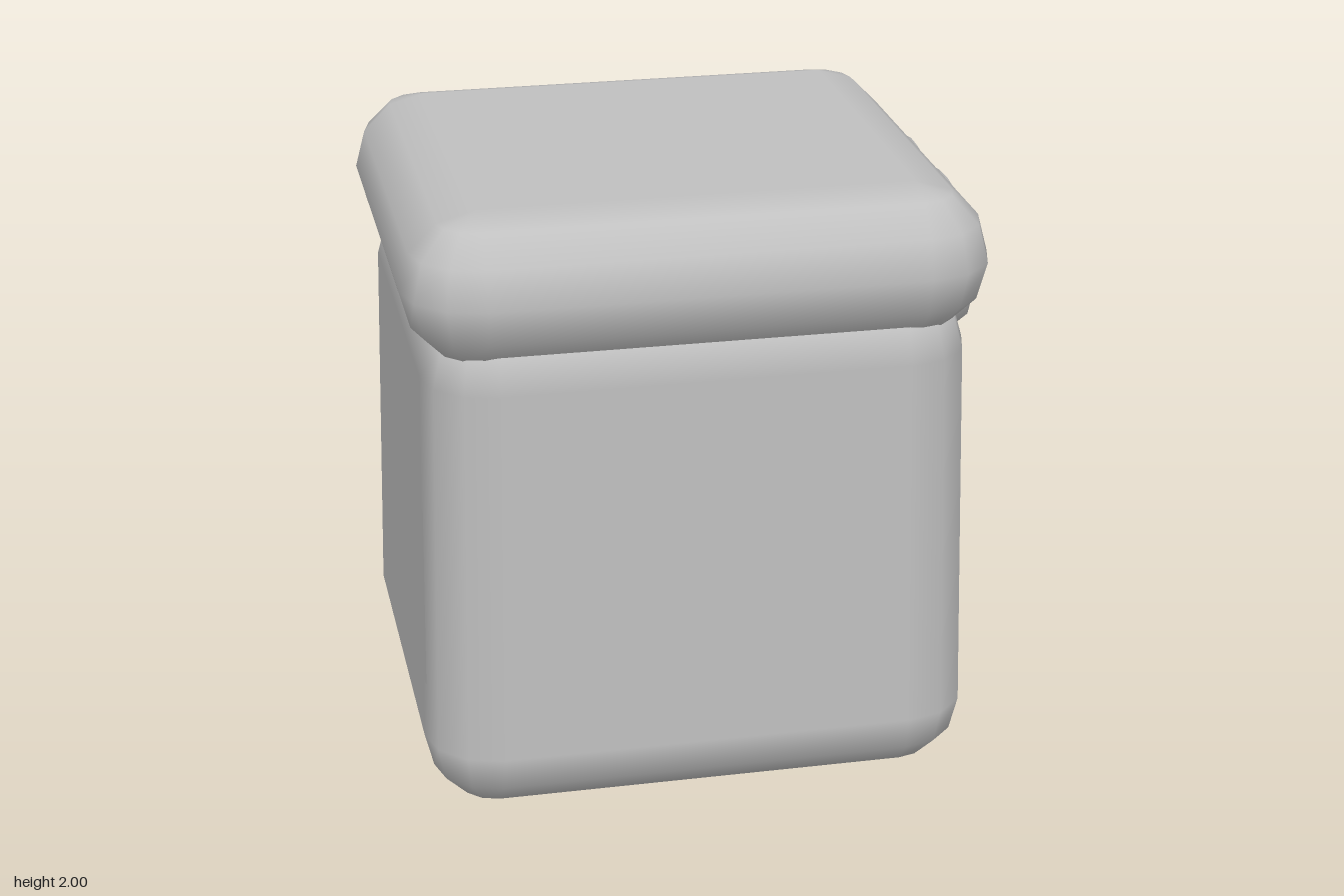
import * as THREE from 'three';

const CENTRE_X = -0.07;
// The body narrows slightly towards the top.
const taper = (y) => 1 - 0.03 * (y - 0.23) / 1.2;

// Rounded box with 30 degree bevel steps, built from stacked rounded-rectangle rings.
function roundedBlock(hx, hy, hz, r, steps = 3) {
  const pos = [], nor = [], idx = [];
  const ring = 4 * (steps + 1);
  const rows = 2 * (steps + 1);
  for (let i = 0; i < rows; i++) {
    const upper = i > steps;
    const phi = ((upper ? i - 1 : i) / steps - 1) * Math.PI / 2;
    for (let q = 0; q < 4; q++) {
      const sx = q === 0 || q === 3 ? 1 : -1;
      const sz = q < 2 ? 1 : -1;
      for (let k = 0; k <= steps; k++) {
        const a = (q + k / steps) * Math.PI / 2;
        const n = [Math.cos(phi) * Math.cos(a), Math.sin(phi), Math.cos(phi) * Math.sin(a)];
        pos.push(sx * (hx - r) + r * n[0], (upper ? 1 : -1) * (hy - r) + r * n[1], sz * (hz - r) + r * n[2]);
        nor.push(...n);
      }
    }
  }
  for (let i = 0; i < rows - 1; i++) {
    for (let j = 0; j < ring; j++) {
      const a = i * ring + j, b = i * ring + (j + 1) % ring;
      idx.push(a, a + ring, b, b, a + ring, b + ring);
    }
  }
  // Flat bottom and top
  const [b0, b1, b2, b3] = [0, 1, 2, 3].map((q) => q * (steps + 1));
  const t = (rows - 1) * ring;
  idx.push(b0, b1, b2, b0, b2, b3, t + b0, t + b2, t + b1, t + b0, t + b3, t + b2);
  const g = new THREE.BufferGeometry();
  g.setAttribute('position', new THREE.Float32BufferAttribute(pos, 3));
  g.setAttribute('normal', new THREE.Float32BufferAttribute(nor, 3));
  g.setIndex(idx);
  return g;
}

// Thin flat mark lying on a side wall; points are (z, y).
function wallMark(points, side) {
  const shape = new THREE.Shape(points.map(([z, y]) => new THREE.Vector2(-side * z, y)));
  const g = new THREE.ShapeGeometry(shape);
  g.rotateY(side * Math.PI / 2);
  const p = g.attributes.position;
  for (let i = 0; i < p.count; i++) {
    p.setX(i, CENTRE_X + side * (0.89 * taper(p.getY(i)) + 0.003));
  }
  return g;
}

export function createModel() {
  const group = new THREE.Group();
  const grey = new THREE.MeshStandardMaterial({ color: 0xc0c0c0 });
  grey.name = 'grey';
  const add = (name, geometry) => {
    const mesh = new THREE.Mesh(geometry, grey);
    mesh.name = name;
    group.add(mesh);
    return mesh;
  };

  // Tapered body
  const body = roundedBlock(0.89, 0.845, 0.82, 0.23);
  body.translate(0, 0.845, 0);
  const p = body.attributes.position;
  for (let i = 0; i < p.count; i++) {
    const s = taper(p.getY(i));
    p.setX(i, p.getX(i) * s);
    p.setZ(i, p.getZ(i) * s);
  }
  add('body', body).position.x = CENTRE_X;

  // Overhanging lid
  add('lid', roundedBlock(0.92, 0.24, 0.855, 0.24)).position.set(CENTRE_X, 1.76, 0);

  // Two-lobed ornament on the left side
  for (const s of [1, -1]) {
    const lobe = add(s > 0 ? 'frontLobe' : 'backLobe', new THREE.SphereGeometry(1, 12, 6));
    lobe.scale.set(0.17, 0.3, 0.375);
    lobe.rotation.y = s * 0.15;
    lobe.position.set(0.805, 1.545, -0.18 + s * 0.14);
  }

  // Thin marks on the side walls
  add('leftMark', wallMark([
    [-0.15, 1.05], [-0.22, 1.12], [-0.39, 0.95], [-0.36, 0.925], [-0.395, 0.935],
    [-0.54, 0.52], [-0.5, 0.51], [-0.53, 0.5], [-0.54, 0.41], [-0.5, 0.4],
    [-0.47, 0.46], [-0.29, 0.39], [-0.15, 0.39], [-0.15, 0.43], [-0.27, 0.43],
    [-0.46, 0.51], [-0.33, 0.88],
  ], 1));
  add('rightMark', wallMark([
    [0.27, 1.06], [0.36, 1.09], [0.61, 0.7], [0.62, 1.04], [0.65, 1.04], [0.69, 0.46], [0.64, 0.45],
  ], -1));

  return group;
}
